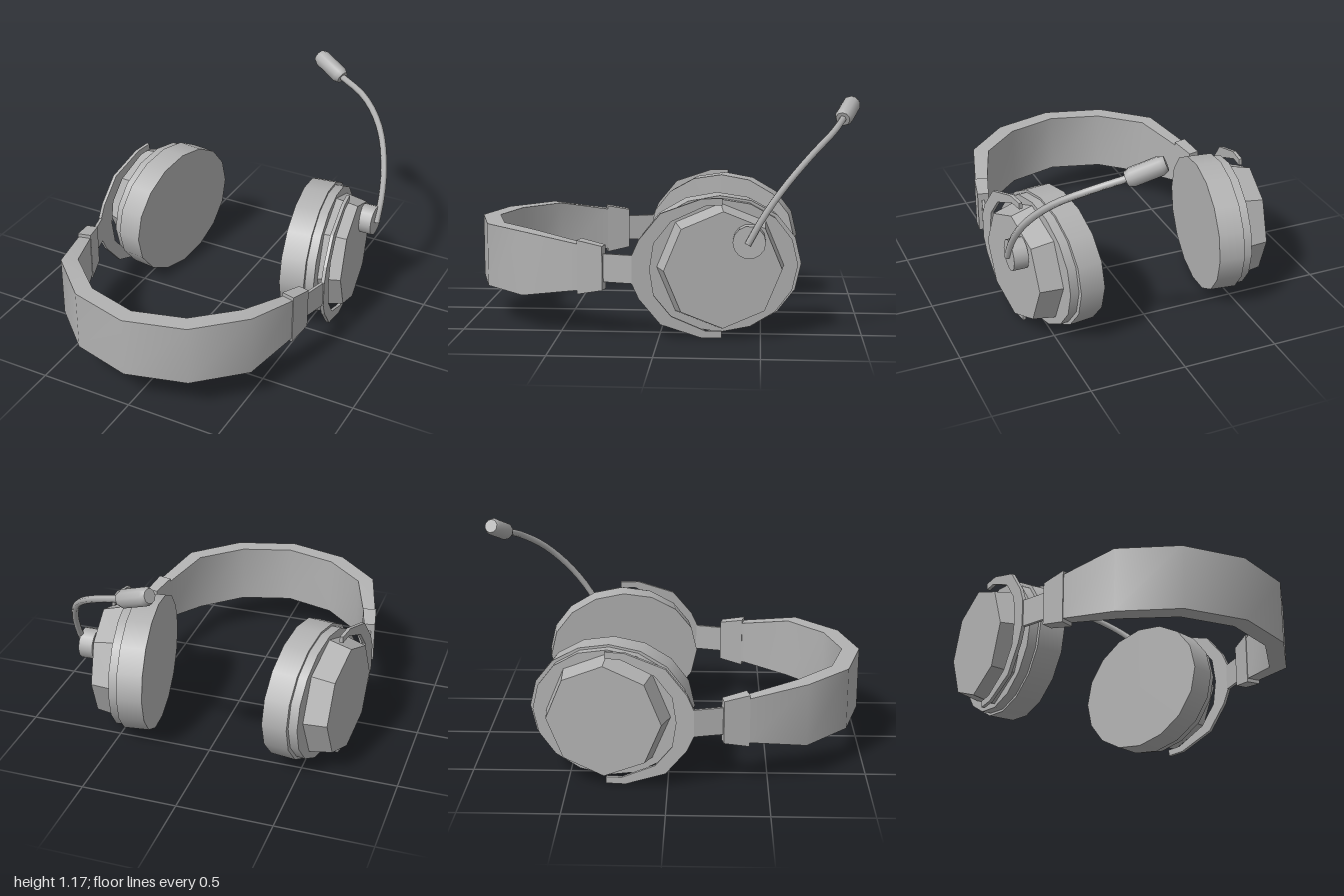
import * as THREE from 'three';
import { toCreasedNormals } from 'three/addons/utils/BufferGeometryUtils.js';

const CX = -0.022, CY = 0.355; // headset centre line

export function createModel() {
  const grey = new THREE.MeshStandardMaterial({ color: 0xb2b2b2 });
  grey.name = 'grey plastic';
  const model = new THREE.Group();
  model.name = 'headset';

  const add = (parent, name, geometry) => {
    const mesh = new THREE.Mesh(geometry, grey);
    mesh.name = name;
    parent.add(mesh);
    return mesh;
  };

  // Strip through sections [outerX, outerZ, innerX, innerZ, halfHeight]
  const loft = (sections) => {
    const rings = sections.map(([ox, oz, ix, iz, h]) =>
      [[ox, -h, oz], [ox, h, oz], [ix, h, iz], [ix, -h, iz]]);
    const pos = [];
    const tri = (...pts) => pts.forEach((p) => pos.push(...p));
    for (let i = 0; i < rings.length - 1; i++) {
      const a = rings[i], b = rings[i + 1];
      for (let k = 0; k < 4; k++) {
        const n = (k + 1) % 4;
        tri(a[k], a[n], b[k]);
        tri(a[n], b[n], b[k]);
      }
    }
    const s = rings[0], e = rings[rings.length - 1];
    tri(s[0], s[2], s[1]); tri(s[0], s[3], s[2]);
    tri(e[0], e[1], e[2]); tri(e[0], e[2], e[3]);
    const g = new THREE.BufferGeometry();
    g.setAttribute('position', new THREE.Float32BufferAttribute(pos, 3));
    return toCreasedNormals(g, 0.75);
  };

  // Oval disc along x, from x0 to x1
  const disc = (x0, x1, ry, rz, sides, taper = 1) => {
    const g = new THREE.CylinderGeometry(taper, 1, x1 - x0, sides);
    g.rotateZ(-Math.PI / 2);
    g.scale(1, ry, rz);
    g.translate((x0 + x1) / 2, 0, 0);
    return g;
  };

  // Headband
  const half = [
    [0.634, 0.397, 0.57, 0.386, 0.115],
    [0.549, 0.693, 0.475, 0.645, 0.1625],
    [0.316, 0.912, 0.269, 0.831, 0.1625],
  ];
  const mirrored = half.map(([a, b, c, d, h]) => [-a, b, -c, d, h]).reverse();
  add(model, 'headband', loft([...half, [0, 0.997, 0, 0.905, 0.1625], ...mirrored]))
    .position.set(CX, CY, 0);

  // Half-ring fork that holds each ear cup
  const outer = [[0, 0.347], [0.1, 0.345], [0.302, 0.275], [0.409, 0.145], [0.443, 0.07]];
  const inner = [[0, 0.313], [0.08, 0.311], [0.25, 0.235], [0.335, 0.13], [0.355, 0]];
  const flip = ([z, y]) => [z, -y];
  const outline = [
    ...outer, ...outer.map(flip).reverse(),
    ...inner.slice(0, 4).map(flip), ...inner.slice().reverse(),
  ].map((p) => new THREE.Vector2(...p));
  const fork = new THREE.ExtrudeGeometry(new THREE.Shape(outline), { depth: 0.018, bevelEnabled: false });
  fork.rotateY(-Math.PI / 2);
  fork.translate(0.252, 0, 0);

  // Each side; the parts are symmetric in height, so half a turn mirrors them
  for (const [name, turn] of [['left', 0], ['right', Math.PI]]) {
    const side = new THREE.Group();
    side.name = name + 'Side';
    side.position.set(CX, CY, 0);
    side.rotation.z = turn;
    model.add(side);

    add(side, 'slider', loft([
      [0.66, 0.277, 0.602, 0.265, 0.11],
      [0.636, 0.405, 0.566, 0.388, 0.135],
    ]));
    add(side, 'stem', loft([
      [0.678, 0.125, 0.662, 0.125, 0.07],
      [0.638, 0.28, 0.622, 0.28, 0.07],
    ]));

    const cup = new THREE.Group();
    cup.name = 'earCup';
    cup.position.set(0.3725, 0, -0.2755);
    cup.rotation.y = 0.1355;
    side.add(cup);
    add(cup, 'cushion', disc(0, 0.133, 0.345, 0.411, 16));
    add(cup, 'rim', disc(0.13, 0.18, 0.333, 0.387, 16));
    add(cup, 'housing', disc(0.175, 0.298, 0.315, 0.317, 8, 0.915).toNonIndexed()).geometry.computeVertexNormals();
    add(cup, 'fork', fork);
  }

  // Microphone pivot
  const pivot = disc(0.63, 0.705, 0.08, 0.08, 14);
  add(model, 'microphonePivot', pivot).position.set(0, 0.503, -0.442);

  // Microphone boom
  const path = new THREE.CatmullRomCurve3([
    [0.712, 0.495, -0.435], [0.705, 0.63, -0.51], [0.667, 0.77, -0.61],
    [0.58, 0.91, -0.735], [0.44, 1.01, -0.845], [0.26, 1.075, -0.91],
  ].map((p) => new THREE.Vector3(...p)));
  add(model, 'microphoneBoom', new THREE.TubeGeometry(path, 16, 0.018, 6));
  const start = new THREE.CircleGeometry(0.018, 6);
  start.lookAt(path.getTangent(0).negate());
  add(model, 'boomEnd', start).position.copy(path.getPoint(0));

  // Microphone capsule
  const from = new THREE.Vector3(0.282, 1.066, -0.903);
  const to = new THREE.Vector3(0.112, 1.14, -0.962);
  const L = from.distanceTo(to);
  const profile = [[0, 0], [0.036, 0], [0.047, 0.025], [0.047, L - 0.025], [0.036, L], [0, L]]
    .map((p) => new THREE.Vector2(...p));
  const capsule = add(model, 'microphoneCapsule', toCreasedNormals(new THREE.LatheGeometry(profile, 10), 0.8));
  capsule.position.copy(from);
  capsule.quaternion.setFromUnitVectors(new THREE.Vector3(0, 1, 0), to.clone().sub(from).normalize());

  return model;
}
